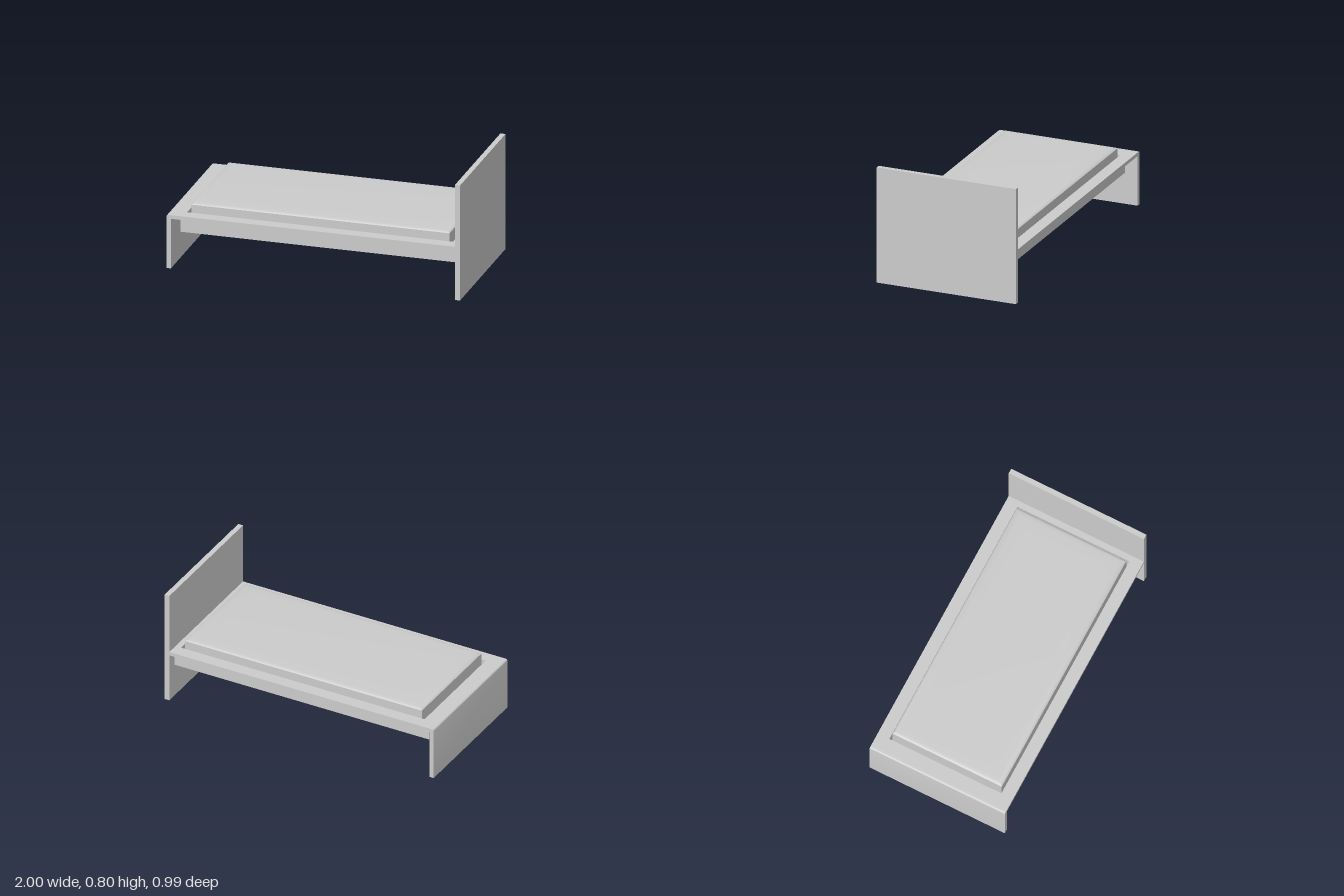
import * as THREE from 'three';
import { toCreasedNormals } from 'three/addons/utils/BufferGeometryUtils.js';

const material = new THREE.MeshStandardMaterial({ color: 0xcccccc });
const HALF = 0.495; // half depth of the bed

function addMesh(group, name, geometry) {
  const mesh = new THREE.Mesh(geometry, material);
  mesh.name = name;
  group.add(mesh);
}

// Box given by its limits on each axis
function boxBetween(x0, x1, y0, y1, z0, z1) {
  return new THREE.BoxGeometry(x1 - x0, y1 - y0, z1 - z0)
    .translate((x0 + x1) / 2, (y0 + y1) / 2, (z0 + z1) / 2);
}

function rectPoints(x0, x1, z) {
  return [[x0, -z], [x1, -z], [x1, z], [x0, z]].map(p => new THREE.Vector2(...p));
}

// Horizontal rectangular ring, from y0 up to y1
function ring(outer, inner, y0, y1) {
  const shape = new THREE.Shape(rectPoints(...outer));
  shape.holes.push(new THREE.Path(rectPoints(...inner)));
  return new THREE.ExtrudeGeometry(shape, { depth: y1 - y0, bevelEnabled: false })
    .rotateX(-Math.PI / 2).translate(0, y0, 0);
}

// Rectangular cushion lofted through [inset, y] sections
function cushion(x0, x1, z, sections) {
  const positions = [], index = [];
  for (const [inset, y] of sections) {
    for (const p of rectPoints(x0 + inset, x1 - inset, z - inset)) positions.push(p.x, y, -p.y);
  }
  for (let s = 0; s < sections.length - 1; s++) {
    for (let i = 0; i < 4; i++) {
      const a = s * 4 + i, b = s * 4 + (i + 1) % 4;
      index.push(a, b, b + 4, a, b + 4, a + 4);
    }
  }
  const t = (sections.length - 1) * 4;
  index.push(t, t + 1, t + 2, t, t + 2, t + 3, 0, 2, 1, 0, 3, 2);
  const geometry = new THREE.BufferGeometry();
  geometry.setAttribute('position', new THREE.Float32BufferAttribute(positions, 3));
  geometry.setIndex(index);
  return toCreasedNormals(geometry, 0.6);
}

export function createModel() {
  const bed = new THREE.Group();
  bed.name = 'bed';

  addMesh(bed, 'headboard', boxBetween(0.965, 1, 0, 0.8, -HALF, HALF));

  // Foot panel with a softened outer top edge
  const foot = new THREE.Shape();
  foot.moveTo(-1, 0);
  foot.lineTo(-0.97, 0);
  foot.lineTo(-0.97, 0.37);
  foot.lineTo(-0.988, 0.37);
  foot.quadraticCurveTo(-1, 0.37, -1, 0.358);
  foot.closePath();
  const footGeometry = new THREE.ExtrudeGeometry(foot, { depth: 2 * HALF, bevelEnabled: false, curveSegments: 4 });
  addMesh(bed, 'footPanel', toCreasedNormals(footGeometry.translate(0, 0, -HALF), 0.6));

  // Flat deck around the mattress
  addMesh(bed, 'deckFrame', ring([-0.97, 0.965, HALF], [-0.885, 0.925, 0.41], 0.345, 0.37));

  // Sunken tray below the deck
  addMesh(bed, 'trayWalls', ring([-0.925, 0.965, 0.425], [-0.885, 0.925, 0.41], 0.235, 0.345));
  addMesh(bed, 'trayFloor', boxBetween(-0.885, 0.925, 0.235, 0.255, -0.41, 0.41));

  // Mattress with a rounded, slightly domed top
  addMesh(bed, 'mattress', cushion(-0.86, 0.9, 0.4, [
    [0, 0.255], [0, 0.422], [0.008, 0.429], [0.022, 0.433], [0.045, 0.435], [0.12, 0.438],
  ]));

  return bed;
}
